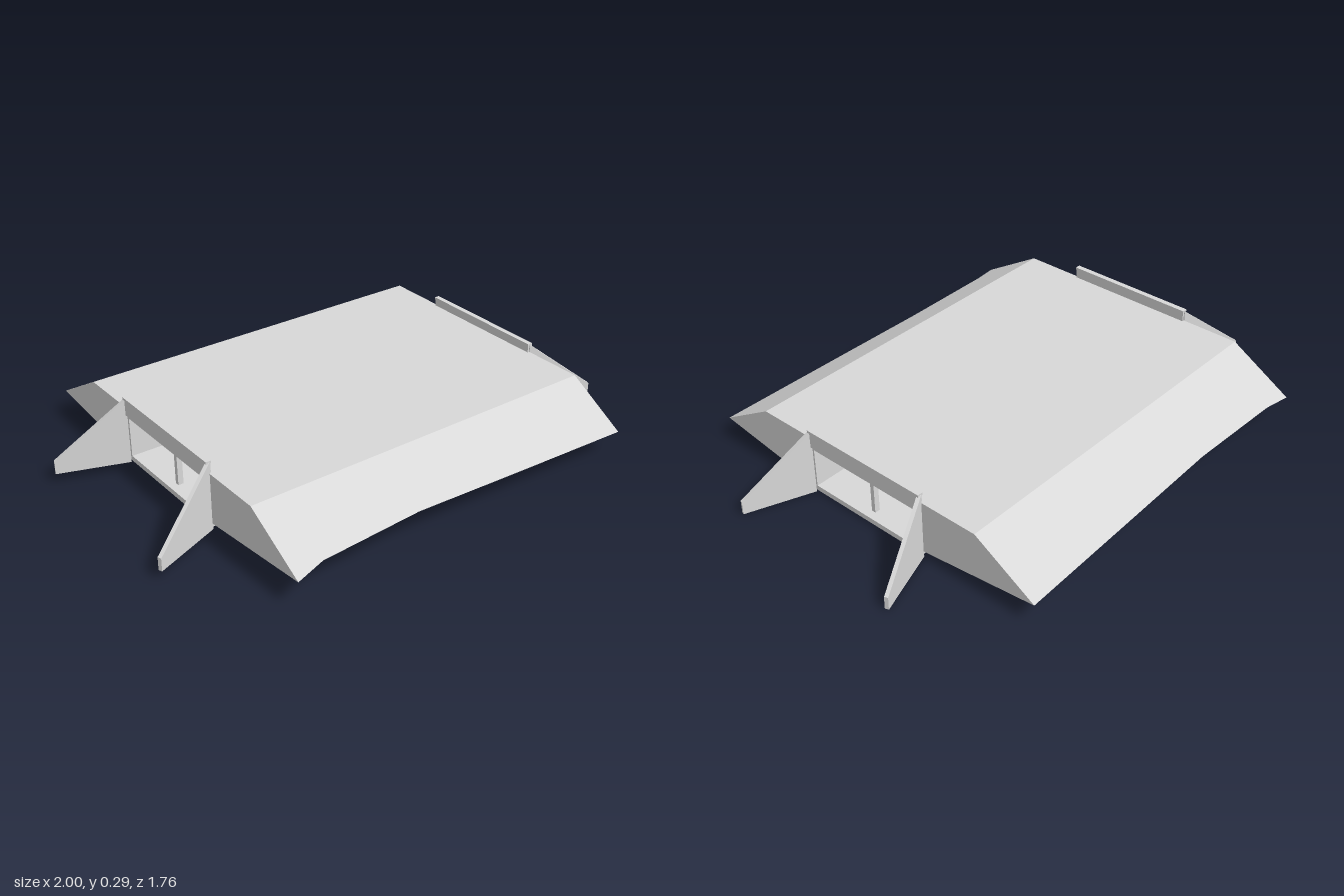
import * as THREE from 'three';

const concrete = new THREE.MeshStandardMaterial({ color: 0xd8d8d8, side: THREE.DoubleSide });
concrete.name = 'concrete';

// Height of the culvert bed, falling gently along its length
const bed = (x) => 0.0175 - 0.025 * x;

// Box given by its ranges, sheared to follow the bed
function slopedBox(name, x0, x1, y0, y1, z0, z1) {
  const g = new THREE.BoxGeometry(x1 - x0, y1 - y0, z1 - z0);
  g.translate((x0 + x1) / 2, (y0 + y1) / 2, (z0 + z1) / 2);
  const p = g.attributes.position;
  for (let i = 0; i < p.count; i++) p.setY(i, p.getY(i) + bed(p.getX(i)));
  g.computeVertexNormals();
  const m = new THREE.Mesh(g, concrete);
  m.name = name;
  return m;
}

// Flat-faced sheet from a list of four-cornered faces, given anticlockwise
function sheet(name, quads) {
  const pos = [];
  for (const [a, b, c, d] of quads) pos.push(...a, ...b, ...c, ...a, ...c, ...d);
  const g = new THREE.BufferGeometry();
  g.setAttribute('position', new THREE.Float32BufferAttribute(pos, 3));
  g.computeVertexNormals();
  const m = new THREE.Mesh(g, concrete);
  m.name = name;
  return m;
}

// Road and earth banks: an open-bottomed shell
function embankment() {
  const group = new THREE.Group();
  group.name = 'embankment';
  const top = (x) => 0.2325 - 0.018 * x;
  const xs = [-0.7, -0.59, -0.2, 0.22, 0.7];
  const toes = { front: [0.106, 0.119, 0.121, 0.106, 0.09], back: [0.106, 0.112, 0.11, 0.096, 0.08] };
  const edge = 0.483, toe = 0.711;

  group.add(sheet('roadSurface', [[
    [-0.7, top(-0.7), edge], [0.7, top(0.7), edge],
    [0.7, top(0.7), -edge], [-0.7, top(-0.7), -edge]]]));

  for (const [side, s] of [['front', 1], ['back', -1]]) {
    const y = toes[side];
    const last = y.length - 1;
    // The bank keeps one pitch, so a higher toe stops nearer the road
    const reach = (i) => s * (edge + (toe - edge) * (top(xs[i]) - y[i]) / 0.134);
    const turn = (q) => (s > 0 ? q : q.reverse());
    const slope = [];
    for (let i = 0; i < last; i++) {
      const a = xs[i], b = xs[i + 1];
      slope.push(turn([[a, y[i], reach(i)], [b, y[i + 1], reach(i + 1)],
        [b, top(b), s * edge], [a, top(a), s * edge]]));
    }
    group.add(sheet(side + 'Slope', slope));

    // Vertical end faces beside the culvert mouth
    for (const e of [-1, 1]) {
      const x = 0.7 * e, low = bed(x) + 0.022, i = e < 0 ? 0 : last;
      const q = [[x, low, s * 0.25], [x, top(x), s * 0.25],
        [x, top(x), s * edge], [x, y[i], reach(i)]];
      if (s * e < 0) q.reverse();
      group.add(sheet(side + 'EndFace', [q]));
    }
  }
  return group;
}

// Hollow two-cell culvert with a row of columns and ceiling beams
function barrel() {
  const group = new THREE.Group();
  group.name = 'culvert';
  group.add(slopedBox('culvertFloor', -0.7, 0.7, 0.006, 0.025, -0.255, 0.255));
  group.add(slopedBox('culvertRoof', -0.7, 0.7, 0.19, 0.2, -0.255, 0.255));
  for (const s of [-1, 1]) {
    group.add(slopedBox('culvertWall', -0.7, 0.7, 0.006, 0.19,
      s > 0 ? 0.243 : -0.255, s > 0 ? 0.255 : -0.243));
  }
  group.add(slopedBox('centreBeam', -0.69, 0.69, 0.17, 0.19, -0.009, 0.009));
  const columns = 9, beams = 21;
  for (let i = 0; i < columns; i++) {
    const x = -0.66 + (1.32 * i) / (columns - 1);
    group.add(slopedBox('column', x - 0.01, x + 0.01, 0.025, 0.172, -0.008, 0.008));
  }
  for (let i = 0; i < beams; i++) {
    const x = -0.66 + (1.32 * i) / (beams - 1);
    group.add(slopedBox('ceilingBeam', x - 0.01, x + 0.01, 0.174, 0.19, -0.243, 0.243));
  }
  return group;
}

// Flared wing wall: a sloping plate standing at the corner of the mouth
function wingWall(e, s) {
  const length = 0.259;
  const shape = new THREE.Shape([[0, 0], [length, 0], [length, 0.048], [length - 0.01, 0.055], [0, 0.25]]
    .map(([x, y]) => new THREE.Vector2(x, y)));
  const g = new THREE.ExtrudeGeometry(shape, { depth: 0.014, bevelEnabled: false });
  g.translate(0, 0, -0.007);
  const m = new THREE.Mesh(g, concrete);
  m.name = 'wingWall';
  m.position.set(0.7 * e, bed(0.7 * e), 0.253 * s);
  m.rotation.y = -Math.atan2(0.09 * s, 0.243 * e);
  return m;
}

export function createModel() {
  const model = new THREE.Group();
  model.name = 'roadCulvert';
  const crossing = new THREE.Group();
  crossing.name = 'crossing';
  crossing.add(embankment(), barrel());

  for (const e of [-1, 1]) {
    // Headwall above the mouth, with a coping and a lower lip
    const mouth = new THREE.Group();
    mouth.name = e > 0 ? 'leftMouth' : 'rightMouth';
    const span = (a, b) => (e > 0 ? [a, b] : [-b, -a]);
    mouth.add(slopedBox('headwall', ...span(0.692, 0.708), 0.187, 0.245, -0.255, 0.255));
    mouth.add(slopedBox('coping', ...span(0.69, 0.71), 0.245, 0.254, -0.257, 0.257));
    mouth.add(slopedBox('lip', ...span(0.685, 0.7), 0.174, 0.187, -0.25, 0.25));
    for (const s of [-1, 1]) mouth.add(wingWall(e, s));
    crossing.add(mouth);
  }

  // The culvert crosses at a slight angle
  crossing.rotation.y = 0.273;
  model.add(crossing);
  return model;
}
